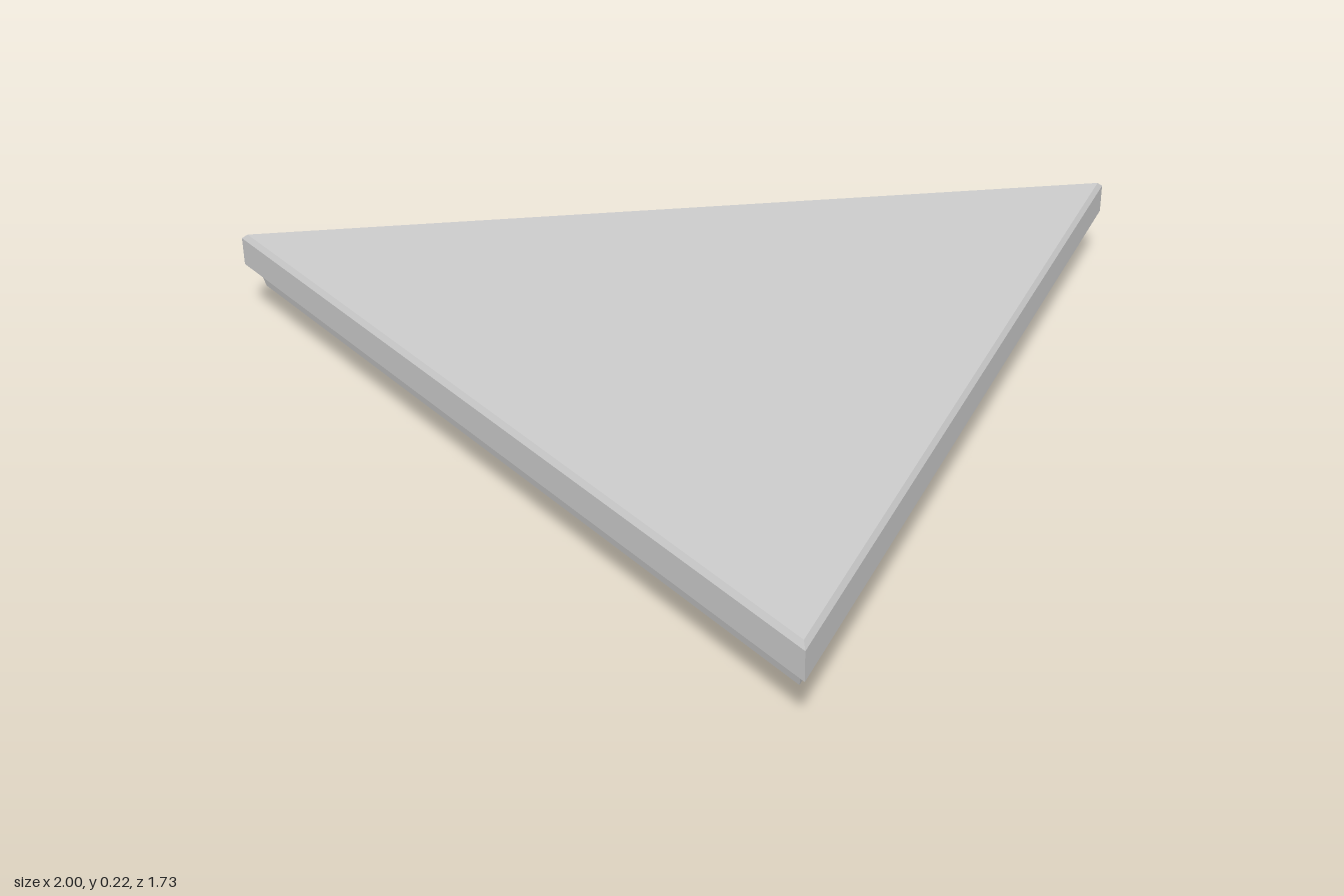
import * as THREE from 'three';

const R = 2 / Math.sqrt(3); // corner distance of a triangle with side 2
const r = R / 2;            // edge distance
const CZ = -r / 2;          // triangle centre in z, for a depth of sqrt(3)

// Stations round the triangle: angle, distance, shift along the edge, drop of the underside
const corner = (deg, drop = 0) => ({ deg, d: R, t: 0, drop });
const edge = (deg, t, drop = 0) => ({ deg, d: r, t, drop });

// Sweeps a profile of [scale, y] points round the stations
function loft(name, stations, profile, material) {
  const pos = [];
  const point = (s, [k, y]) => {
    const a = THREE.MathUtils.degToRad(s.deg), c = Math.cos(a), n = Math.sin(a);
    return [k * (c * s.d - n * s.t), y - (y < 0.03 ? s.drop : 0), k * (n * s.d + c * s.t) + CZ];
  };
  stations.forEach((s, i) => {
    const e = stations[(i + 1) % stations.length];
    for (let j = 0; j < profile.length - 1; j++) {
      const a = point(s, profile[j]), b = point(e, profile[j]);
      const c = point(e, profile[j + 1]), d = point(s, profile[j + 1]);
      if (profile[j][0] > 0) pos.push(...a, ...b, ...c);
      if (profile[j + 1][0] > 0) pos.push(...a, ...c, ...d);
    }
  });
  const g = new THREE.BufferGeometry();
  g.setAttribute('position', new THREE.Float32BufferAttribute(pos, 3));
  g.computeVertexNormals();
  const mesh = new THREE.Mesh(g, material);
  mesh.name = name;
  return mesh;
}

export function createModel() {
  const group = new THREE.Group();
  group.name = 'triangularPanel';
  const grey = new THREE.MeshStandardMaterial({ color: 0xcccccc, flatShading: true });

  // Top slab with a small bevel
  group.add(loft('topSlab', [corner(-30), corner(90), corner(210)],
    [[0, 0.215], [0.986, 0.215], [1, 0.203], [1, 0.138], [0, 0.138]], grey));

  // Sloping under frame, with a small step at the seam in each side
  const seam = (deg, t, before, after) => [edge(deg, t - 0.006, before), edge(deg, t + 0.006, after)];
  const frameStations = [
    corner(-30, 0.012), ...seam(30, 0.1, 0.005, 0),
    corner(90, 0), ...seam(150, 0.33, 0.012, 0.004),
    corner(210, -0.003), ...seam(270, -0.2, 0, 0.006),
  ];
  // Outside, underside, then the stepped wall of the central opening
  group.add(loft('underFrame', frameStations,
    [[0.968, 0.138], [0.966, 0.125], [0.955, 0.093], [0.64, 0.022], [0.35, 0.012],
      [0.35, 0.055], [0.325, 0.055], [0.325, 0.138]], grey));
  return group;
}
